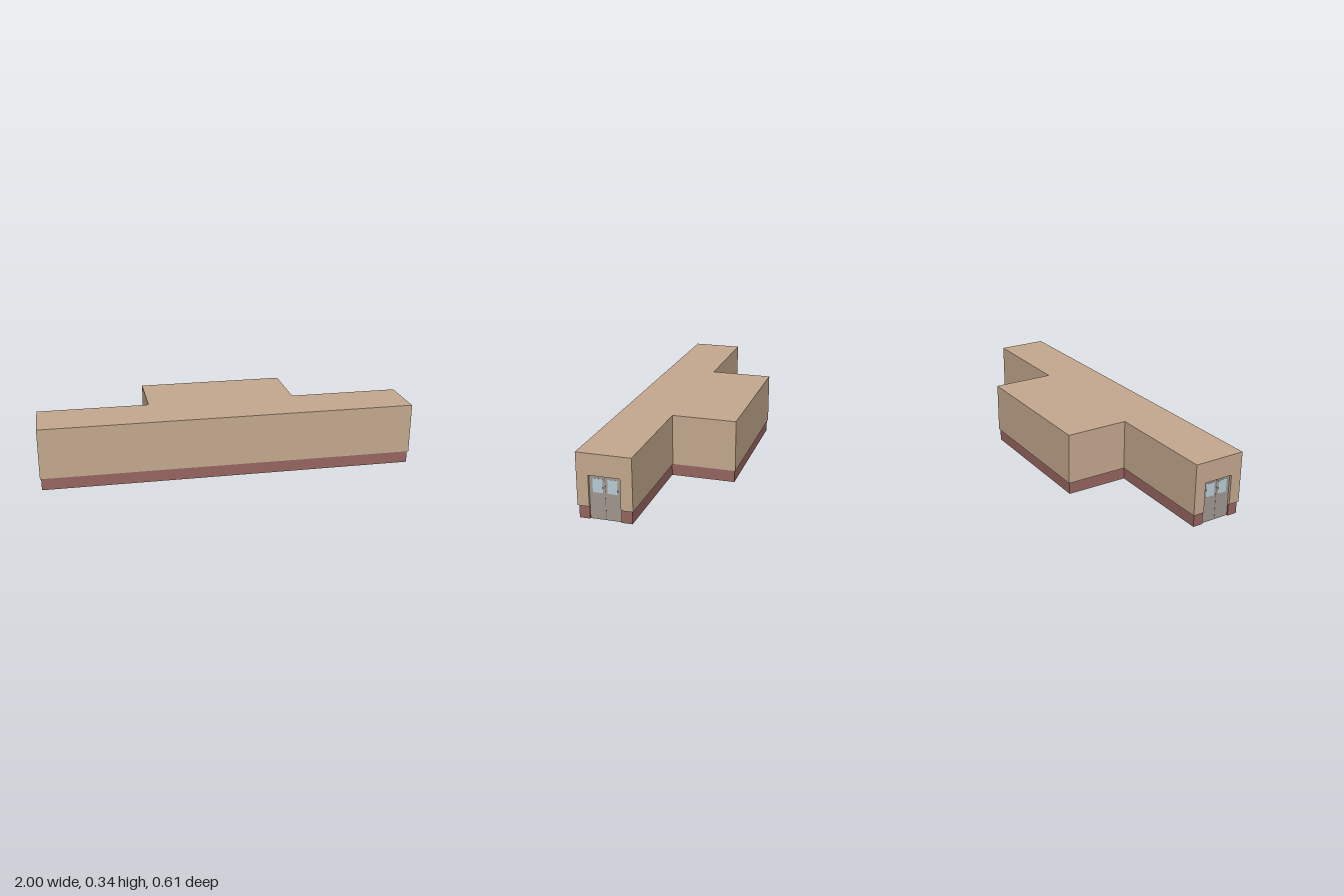
import * as THREE from 'three';

const mat = (color) => new THREE.MeshStandardMaterial({ color });
const DOOR = { front: 0.248, back: 0.09, top: 0.225, x: 0.985 };

// T-shaped footprint, pulled in by `inset`, optionally notched at both door ends
function footprint(inset, notched) {
  const front = 0.307 - inset, wing = 0.03 + inset, back = -0.307 + inset;
  const end = 1 - inset, mid = 0.403 - inset;
  const half = [[end, front]];
  if (notched) {
    half.push([end, DOOR.front], [DOOR.x, DOOR.front], [DOOR.x, DOOR.back], [end, DOOR.back]);
  }
  half.push([end, wing], [mid, wing], [mid, back]);
  const mirrored = half.map(([x, z]) => [-x, z]).reverse();
  return new THREE.Shape([...half, ...mirrored].map(([x, z]) => new THREE.Vector2(x, -z)));
}

// Raises a footprint from y0 to y1
function storey(name, inset, notched, y0, y1, material) {
  const geometry = new THREE.ExtrudeGeometry(footprint(inset, notched), { depth: y1 - y0, bevelEnabled: false });
  geometry.rotateX(-Math.PI / 2);
  geometry.translate(0, y0, 0);
  const mesh = new THREE.Mesh(geometry, material);
  mesh.name = name;
  return mesh;
}

function box(name, material, size, position) {
  const mesh = new THREE.Mesh(new THREE.BoxGeometry(...size), material);
  mesh.position.set(...position);
  mesh.name = name;
  return mesh;
}

export function createModel() {
  const model = new THREE.Group();
  model.name = 'building';
  const wall = mat(0xc4a88e), brick = mat(0x95655f), floor = mat(0xb09070);
  const doorGrey = mat(0xa0968e), glass = mat(0xb8ccd4), dark = mat(0x6c645e);

  // Floor slab, brick plinth and overhanging walls
  model.add(
    storey('floor', 0.006, true, 0, 0.002, floor),
    storey('plinth', 0.006, true, 0.002, 0.065, brick),
    storey('lowerWalls', 0, true, 0.065, DOOR.top, wall),
    storey('upperWallsAndRoof', 0, false, DOOR.top, 0.335, wall)
  );

  // Recessed double doors at both ends
  const centre = (DOOR.front + DOOR.back) / 2;
  for (const side of [-1, 1]) {
    const doors = new THREE.Group();
    doors.name = side > 0 ? 'leftEndDoors' : 'rightEndDoors';
    doors.add(box('doorPanel', doorGrey, [0.004, DOOR.top, DOOR.front - DOOR.back],
      [side * DOOR.x, DOOR.top / 2, centre]));
    doors.add(box('doorSeam', dark, [0.001, 0.213, 0.0015], [side * (DOOR.x + 0.002), 0.1135, centre]));
    for (const leaf of [-1, 1]) {
      doors.add(box('doorWindow', glass, [0.002, 0.071, 0.05],
        [side * (DOOR.x + 0.002), 0.1725, centre + leaf * 0.037]));
    }
    model.add(doors);
  }
  return model;
}
